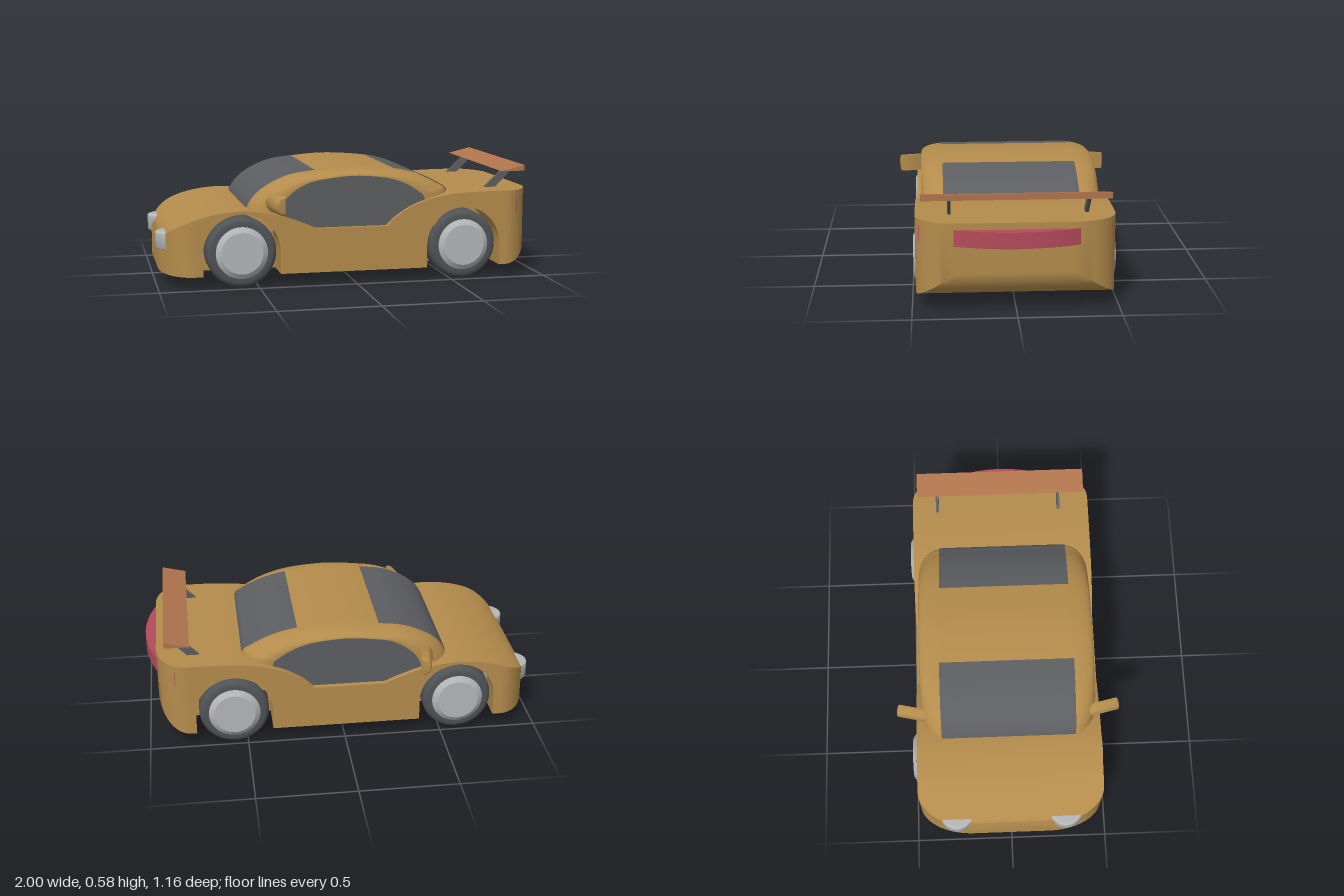
import * as THREE from 'three';
import { toCreasedNormals } from 'three/addons/utils/BufferGeometryUtils.js';
import { ParametricGeometry } from 'three/addons/geometries/ParametricGeometry.js';

const mat = (color, side = THREE.FrontSide) => new THREE.MeshStandardMaterial({ color, side });
const PAINT = 0xb48c4c, GLASS = 0x5c5e61, RUBBER = 0x505356, METAL = 0xb4b7b8;
const WHEEL_X = [-0.586, 0.565], WHEEL_Y = 0.178, WELL = 0.195;
const V = (x, y) => new THREE.Vector2(x, y);

function add(parent, name, geometry, material) {
  const mesh = new THREE.Mesh(geometry, material);
  mesh.name = name;
  parent.add(mesh);
  return mesh;
}

// extrusion of an (x, y) shape along z, or of a plan shape upwards
function extrude(shape, depth, bevel = 0, up = false) {
  const g = new THREE.ExtrudeGeometry(shape, {
    depth: depth - 2 * bevel, bevelEnabled: bevel > 0, bevelThickness: bevel,
    bevelSize: bevel, bevelOffset: -bevel, bevelSegments: 4, curveSegments: 32 });
  g.translate(0, 0, bevel);
  if (up) g.rotateX(-Math.PI / 2);
  return toCreasedNormals(g, 0.6);
}

// body outline: top line, underside, half width and wheel arches, all by x
const topLine = [
  ...new THREE.SplineCurve([V(-0.984, 0.215), V(-0.956, 0.27), V(-0.876, 0.327), V(-0.74, 0.372),
    V(-0.58, 0.388), V(-0.42, 0.367), V(-0.29, 0.324), V(-0.21, 0.29)]).getPoints(42),
  ...new THREE.SplineCurve([V(0.158, 0.29), V(0.22, 0.345), V(0.33, 0.404), V(0.49, 0.442),
    V(0.68, 0.452)]).getPoints(30),
  V(0.945, 0.452)];

function topAt(x) {
  const i = Math.max(1, topLine.findIndex(p => p.x >= x - 1e-9));
  const a = topLine[i - 1], b = topLine[i];
  return a.y + (b.y - a.y) * (x - a.x) / (b.x - a.x);
}
const arc = t => Math.sqrt(Math.max(0, 1 - t * t));
const bottomAt = x => 0.215 - 0.15 * arc(Math.max(0, (x - 0.785) / 0.16));
function widthAt(x) {
  if (x < -0.82) return 0.2 + 0.282 * arc((x + 0.82) / 0.164);
  if (x > 0.79) return 0.27 + 0.212 * arc((x - 0.79) / 0.155);
  return 0.482;
}
function archAt(x) {
  const c = WHEEL_X.find(w => Math.abs(x - w) <= WELL + 1e-6);
  return c === undefined ? bottomAt(x) : WHEEL_Y + WELL * arc((x - c) / WELL);
}

function bodyGeometry() {
  const xs = topLine.map(p => p.x);
  for (let i = 0; i <= 14; i++) {
    const c = Math.cos(i / 14 * Math.PI / 2);
    xs.push(-0.82 - 0.164 * c, 0.79 + 0.155 * c);
  }
  for (const c of WHEEL_X) {
    xs.push(c - WELL - 1e-4, c + WELL + 1e-4);
    for (let i = 0; i <= 28; i++) xs.push(c - WELL * Math.cos(i / 28 * Math.PI));
  }
  xs.sort((a, b) => a - b);
  const stations = xs.filter((x, i) => i === 0 || x - xs[i - 1] > 1e-5);
  const pos = [], idx = [];
  for (const x of stations) {
    const w = widthAt(x), q = Math.min(0.305, w), t = topAt(x), a = archAt(x), b = bottomAt(x);
    pos.push(x, t, w, x, t, -w, x, a, -w, x, a, -q, x, b, -q, x, b, q, x, a, q, x, a, w);
  }
  for (let s = 0; s < stations.length - 1; s++) {
    for (let k = 0; k < 8; k++) {
      const A = s * 8 + k, B = s * 8 + (k + 1) % 8, C = A + 8, D = B + 8;
      idx.push(A, C, B, B, C, D);
    }
  }
  const e = (stations.length - 1) * 8;
  idx.push(0, 1, 2, 0, 2, 7, e, e + 2, e + 1, e, e + 7, e + 2);
  const g = new THREE.BufferGeometry();
  g.setAttribute('position', new THREE.Float32BufferAttribute(pos, 3));
  g.setIndex(idx);
  return toCreasedNormals(g, 0.5);
}

// cabin skin: roof line swept across, rounding inwards near the sides
const roofLine = new THREE.SplineCurve([V(-0.55, 0.28), V(-0.542, 0.385), V(-0.474, 0.474),
  V(-0.34, 0.543), V(-0.2, 0.567), V(0, 0.581), V(0.22, 0.566), V(0.356, 0.534),
  V(0.46, 0.485), V(0.51, 0.44), V(0.53, 0.28)]);
function cabinPoint(u, z, target, grow = 1) {
  const p = roofLine.getPoint(u);
  const e = 1 - arc(Math.min(1, Math.max(0, (Math.abs(z) - 0.33) / 0.125)));
  return target.set(-0.02 + (p.x + 0.02) * (1 - 0.28 * e) * grow,
    0.25 + (p.y - 0.25) * (1 - 0.1 * e) * grow, z);
}

function buildCabin(car) {
  const cabin = new THREE.Group();
  cabin.name = 'cabin';
  car.add(cabin);
  add(cabin, 'roof', new ParametricGeometry((u, v, target) => {
    const s = 1 - 2 * v, a = Math.abs(s);
    const z = a < 0.4 ? a / 0.4 * 0.33 : 0.33 + 0.125 * Math.sin((a - 0.4) / 0.6 * Math.PI / 2);
    cabinPoint(u, Math.sign(s) * z, target);
  }, 60, 40), mat(PAINT, THREE.DoubleSide));

  for (const [name, u0, u1, half] of [['windshield', 0, 0.406, 0.35], ['rearWindow', 0.603, 1, 0.342]]) {
    add(cabin, name, new ParametricGeometry((u, v, target) =>
      cabinPoint(u0 + (u1 - u0) * u, half * (1 - 2 * v), target, 1.008), 32, 24),
    mat(GLASS, THREE.DoubleSide));
  }
  const outline = [];
  for (let i = 0; i <= 60; i++) {
    const p = cabinPoint(i / 60, 0.455, new THREE.Vector3());
    outline.push(V(p.x, p.y));
  }
  for (const s of [1, -1]) {
    const pane = add(cabin, 'sideWindow', new THREE.ShapeGeometry(new THREE.Shape(outline)),
      mat(GLASS, THREE.DoubleSide));
    pane.position.z = 0.455 * s;
  }
}

// wheel with its outer face towards +z
function buildWheel() {
  const wheel = new THREE.Group();
  wheel.name = 'wheel';
  const h = 0.079, r = 0.178, c = 0.032, tyre = [V(0, -h)];
  for (const s of [-1, 1]) {
    for (let i = 0; i <= 6; i++) {
      const a = (s < 0 ? i / 6 - 1 : i / 6) * Math.PI / 2;
      tyre.push(V(r - c + c * Math.cos(a), s * (h - c) + c * Math.sin(a)));
    }
  }
  tyre.push(V(0.12, h), V(0, h));
  const hub = [V(0.131, h - 0.02), V(0.131, h + 0.003), V(0.105, h + 0.021), V(0, h + 0.021)];
  for (const [name, profile, color] of [['tyre', tyre, RUBBER], ['hub', hub, METAL]]) {
    const g = new THREE.LatheGeometry(profile, 48).rotateX(Math.PI / 2);
    g.deleteAttribute('normal');
    add(wheel, name, toCreasedNormals(g, 0.5), mat(color));
  }
  return wheel;
}

export function createModel() {
  const car = new THREE.Group();
  car.name = 'car';
  add(car, 'body', bodyGeometry(), mat(PAINT));
  buildCabin(car);

  for (const x of WHEEL_X) {
    for (const s of [1, -1]) {
      const wheel = buildWheel();
      wheel.position.set(x, WHEEL_Y, 0.401 * s - 0.007);
      if (s < 0) wheel.rotation.y = Math.PI;
      car.add(wheel);
    }
  }

  // headlights and door mirrors
  const lens = new THREE.Shape().absellipse(-0.88, 0, 0.12, 0.1, 0, Math.PI * 2);
  const mirrorShape = new THREE.Shape().moveTo(0.025, -0.045).lineTo(0.025, 0.045).lineTo(0.01, 0.045);
  mirrorShape.absellipse(0.01, 0, 0.036, 0.045, Math.PI / 2, Math.PI * 1.5);
  for (const s of [1, -1]) {
    const lamp = add(car, 'headlight', extrude(lens, 0.088, 0.01, true), mat(METAL));
    lamp.position.set(0, 0.187, 0.283 * s);

    const mirror = new THREE.Group();
    mirror.name = 'doorMirror';
    mirror.position.set(-0.435, 0.42, 0.42 * s);
    if (s < 0) mirror.rotation.x = Math.PI;
    add(mirror, 'mirrorHousing', extrude(mirrorShape, 0.16, 0.01), mat(PAINT)).rotation.y = 0.22;
    car.add(mirror);
  }

  // curved tail light band
  const band = new THREE.Shape().absarc(0.182, 0, 0.818, -0.605, 0.605);
  add(car, 'tailLight', extrude(band, 0.08, 0, true), mat(0xb44a5c)).position.y = 0.34;

  // rear wing on two slanted struts
  const wing = new THREE.Shape([V(0.775, 0.55), V(0.9, 0.55), V(0.9, 0.58)]);
  add(car, 'rearWing', extrude(wing, 0.906), mat(0xb0744c)).position.z = -0.453;
  const strut = new THREE.Shape([V(0.72, 0.445), V(0.78, 0.445), V(0.89, 0.555), V(0.835, 0.555)]);
  for (const z of [0.309, -0.354]) {
    add(car, 'wingStrut', extrude(strut, 0.016), mat(GLASS)).position.z = z;
  }
  return car;
}
